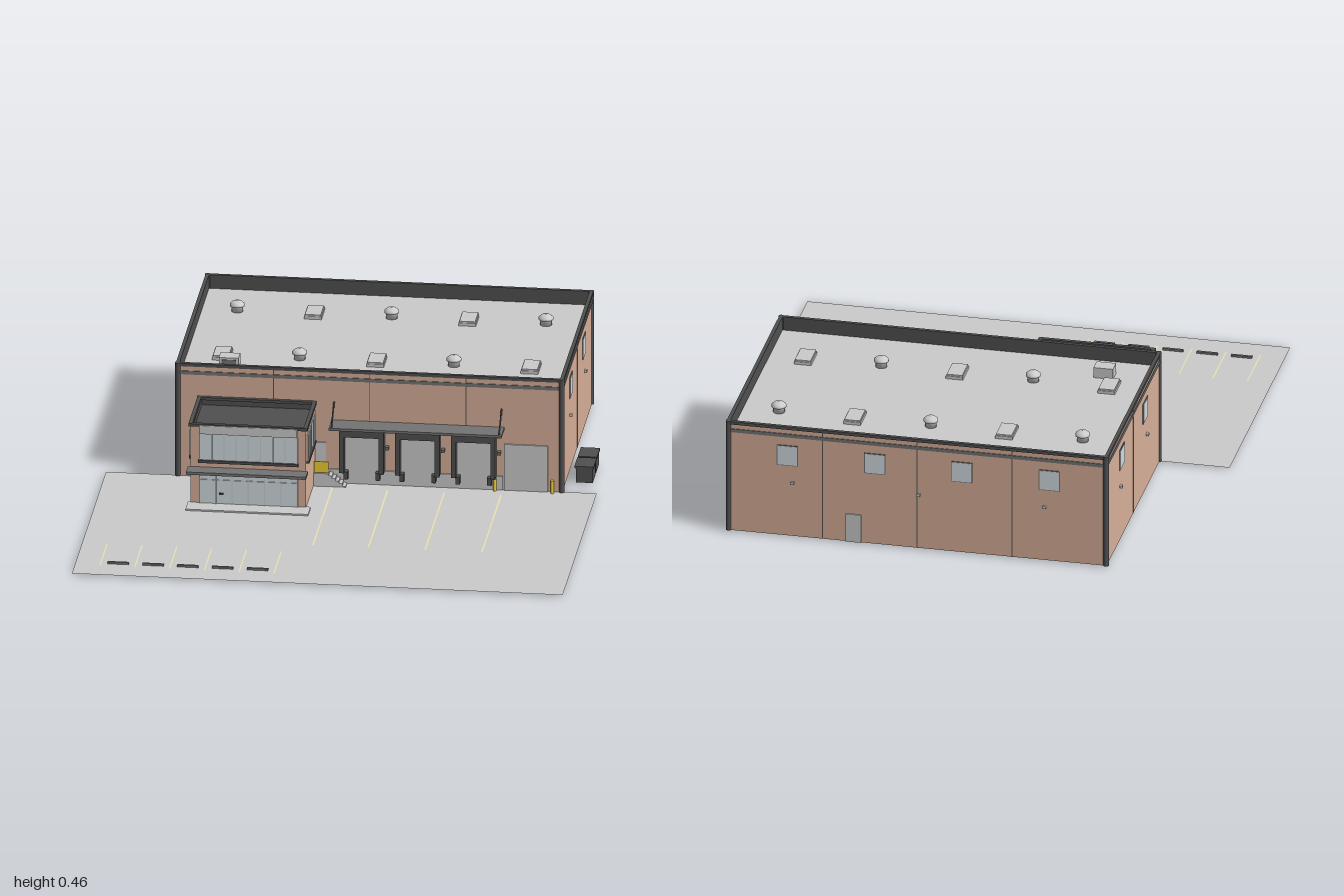
import * as THREE from 'three';

const mat = (color) => new THREE.MeshStandardMaterial({ color, side: THREE.DoubleSide });
const M = {
  brick: mat(0xd8b09a), grey: mat(0xcccccc), dark: mat(0x505050), mid: mat(0x747474),
  asphalt: mat(0xc8c8c8), glass: mat(0xd2dce0), yellow: mat(0xf0d030), stripe: mat(0xeae2ae),
};
const G = 0.01; // ground level
const X0 = -0.66, X1 = 0.8, Z0 = -0.99, Z1 = -0.06, TOP = 0.465, ROOF = 0.41;

export function createModel() {
  const root = new THREE.Group();
  const mesh = (name, geo, m, x = 0, y = 0, z = 0) => {
    const o = new THREE.Mesh(geo, m);
    o.name = name;
    o.position.set(x, y, z);
    root.add(o);
  };
  // Box given by its limits on each axis
  const box = (name, m, xa, xb, ya, yb, za, zb) =>
    mesh(name, new THREE.BoxGeometry(xb - xa, yb - ya, zb - za), m, (xa + xb) / 2, (ya + yb) / 2, (za + zb) / 2);
  // Rectangular ring of walls; t grows inward
  const ring = (name, m, xa, xb, ya, yb, za, zb, t) => {
    box(name, m, xa, xb, ya, yb, za, za + t);
    box(name, m, xa, xb, ya, yb, zb - t, zb);
    box(name, m, xa, xa + t, ya, yb, za + t, zb - t);
    box(name, m, xb - t, xb, ya, yb, za + t, zb - t);
  };
  const flat = (name, m, xa, xb, y, za, zb) =>
    mesh(name, new THREE.PlaneGeometry(xb - xa, zb - za).rotateX(-Math.PI / 2), m, (xa + xb) / 2, y, (za + zb) / 2);

  // Yard with bay stripes, parking stripes and wheel stops
  flat('yard', M.asphalt, -0.93, 0.93, G, -0.063, 1);
  for (const x of [-0.065, 0.145, 0.36, 0.575]) flat('bayStripe', M.stripe, x - 0.003, x + 0.003, G + 0.001, 0, 0.6);
  for (let i = 0; i < 6; i++) {
    const x = -0.835 + i * 0.132;
    flat('parkingStripe', M.stripe, x - 0.0025, x + 0.0025, G + 0.001, 0.68, 0.91);
    if (i < 5) box('wheelStop', M.mid, x + 0.026, x + 0.106, G, G + 0.008, 0.875, 0.885);
  }

  // Warehouse shell, open underneath
  ring('wall', M.brick, X0, X1, G, TOP - 0.01, Z0, Z1, 0.008);
  ring('parapetLining', M.dark, X0 + 0.008, X1 - 0.008, ROOF, TOP - 0.01, Z0 + 0.008, Z1 - 0.008, 0.001);
  ring('parapetCap', M.dark, X0 - 0.005, X1 + 0.005, TOP - 0.012, TOP, Z0 - 0.005, Z1 + 0.005, 0.014);
  ring('trimBand', M.mid, X0 - 0.003, X1 + 0.003, 0.42, 0.434, Z0 - 0.003, Z1 + 0.003, 0.005);
  flat('roof', M.asphalt, X0 + 0.008, X1 - 0.008, ROOF, Z0 + 0.008, Z1 - 0.008);
  for (const x of [X0, X1]) for (const z of [Z0, Z1])
    mesh('cornerPost', new THREE.CylinderGeometry(0.011, 0.011, TOP - G, 16), M.dark,
      x - Math.sign(x) * 0.003, (TOP + G) / 2, z + (z === Z0 ? 0.003 : -0.003));

  // Wall panel joints
  for (const x of [-0.295, 0.07, 0.435]) {
    box('panelJoint', M.dark, x - 0.0015, x + 0.0015, G, 0.455, Z0 - 0.001, Z0);
    box('panelJoint', M.dark, x - 0.0015, x + 0.0015, G, 0.455, Z1, Z1 + 0.001);
  }
  for (const x of [X0, X1]) box('panelJoint', M.dark, x - 0.001, x + 0.001, G, 0.455, -0.5265, -0.5235);

  // Framed windows and wall lamps on the sides and back
  for (const x of [X0, X1]) {
    for (const z of [-0.318, -0.728]) {
      box('windowFrame', M.mid, x - 0.003, x + 0.003, 0.302, 0.386, z - 0.041, z + 0.041);
      box('windowPane', M.glass, x - 0.004, x + 0.004, 0.305, 0.383, z - 0.038, z + 0.038);
    }
    for (const z of [-0.295, -0.755]) box('wallLamp', M.grey, x - 0.01, x + 0.01, 0.227, 0.237, z - 0.007, z + 0.007);
  }
  for (const x of [-0.44, -0.103, 0.233, 0.57]) {
    box('windowFrame', M.mid, x - 0.041, x + 0.041, 0.302, 0.386, Z0 - 0.003, Z0 + 0.003);
    box('windowPane', M.glass, x - 0.038, x + 0.038, 0.305, 0.383, Z0 - 0.004, Z0 + 0.004);
  }
  for (const x of [-0.42, 0.065, 0.55]) box('wallLamp', M.grey, x - 0.007, x + 0.007, 0.227, 0.237, Z0 - 0.01, Z0);
  box('backDoor', M.grey, 0.285, 0.345, G, 0.125, Z0 - 0.005, Z0 + 0.005);

  // Roof vents, skylights and cooling unit, alternating in two rows
  const ventProfile = [[0, 0], [0.022, 0], [0.022, 0.02], [0.028, 0.022], [0.028, 0.03], [0.018, 0.039], [0, 0.042]]
    .map(([r, y]) => new THREE.Vector2(r, y));
  for (let i = 0; i < 5; i++) {
    const x = -0.517 + i * 0.2925;
    const [vz, sz] = i % 2 ? [-0.295, -0.76] : [-0.76, -0.295];
    mesh('roofVent', new THREE.LatheGeometry(ventProfile, 20), M.grey, x, ROOF, vz);
    box('skylightCurb', M.grey, x - 0.033, x + 0.033, ROOF, ROOF + 0.012, sz - 0.053, sz + 0.053);
    box('skylight', M.grey, x - 0.03, x + 0.03, ROOF + 0.012, ROOF + 0.018, sz - 0.05, sz + 0.05);
  }
  box('coolingUnit', M.grey, -0.515, -0.44, ROOF, ROOF + 0.042, -0.22, -0.165);
  box('coolingGrille', M.mid, -0.505, -0.45, ROOF + 0.008, ROOF + 0.034, -0.165, -0.163);

  // Office wing
  const OX0 = -0.575, OX1 = -0.138, OZ = 0.225;
  box('officeWall', M.brick, OX0, OX1, G, 0.325, OZ - 0.008, OZ);
  for (const x of [OX0, OX1 - 0.008]) box('officeWall', M.brick, x, x + 0.008, G, 0.325, Z1, OZ - 0.008);
  box('officeRoof', M.dark, OX0 + 0.008, OX1 - 0.008, 0.29, 0.3, Z1 - 0.012, OZ - 0.008);
  ring('officeParapet', M.dark, OX0 - 0.007, OX1 + 0.007, 0.324, 0.335, Z1, OZ + 0.007, 0.015);
  ring('officeParapetLining', M.dark, OX0 + 0.008, OX1 - 0.008, 0.3, 0.324, Z1, OZ - 0.008, 0.001);
  box('officeCanopy', M.mid, -0.585, -0.13, 0.149, 0.16, OZ, 0.285);
  box('entrySlab', M.asphalt, -0.585, -0.12, 0.004, G + 0.006, 0.22, 0.3);

  // Office front glazing: window band above, shopfront below
  const glazing = (ya, yb, n) => {
    box('officeGlass', M.glass, -0.54, -0.17, ya, yb, OZ - 0.01, OZ + 0.003);
    for (let i = 0; i <= n; i++) {
      const x = -0.54 + (0.37 * i) / n;
      box('mullion', M.grey, x - 0.002, x + 0.002, ya, yb, OZ, OZ + 0.007);
    }
  };
  glazing(0.19, 0.295, 8);
  glazing(G + 0.006, 0.135, 6);
  box('shopfrontRail', M.grey, -0.54, -0.17, 0.108, 0.112, OZ, OZ + 0.006);
  box('fasciaPanel', M.grey, -0.54, -0.17, 0.296, 0.33, OZ, OZ + 0.01);
  box('windowSill', M.dark, -0.545, -0.165, 0.18, 0.19, OZ, OZ + 0.012);
  box('doorHandle', M.dark, -0.465, -0.45, 0.055, 0.06, OZ, OZ + 0.012);
  // Office side windows
  for (const [x, s] of [[OX0, -1], [OX1, 1]]) {
    box('sideGlass', M.glass, x - 0.004, x + 0.004, 0.19, 0.295, -0.02, 0.19);
    box('sideSill', M.dark, x - 0.01, x + 0.01, 0.18, 0.19, -0.025, 0.195);
    for (let i = 0; i <= 4; i++) {
      const z = -0.02 + i * 0.0525;
      box('sideMullion', M.grey, x + s * 0.004 - 0.003, x + s * 0.004 + 0.003, 0.19, 0.295, z - 0.002, z + 0.002);
    }
  }

  // Loading dock: concrete base, sealed doors, bumpers
  box('dockBase', M.grey, -0.08, 0.575, G, 0.065, Z1, Z1 + 0.006);
  for (const x of [0.043, 0.255, 0.467]) {
    box('dockDoor', M.grey, x - 0.066, x + 0.066, 0.065, 0.215, Z1 - 0.012, Z1 + 0.006);
    box('dockSealTop', M.dark, x - 0.084, x + 0.084, 0.21, 0.24, Z1, -0.015);
    for (const s of [-1, 1]) {
      box('dockSealSide', M.dark, x + s * 0.075 - 0.009, x + s * 0.075 + 0.009, 0.065, 0.21, Z1, -0.015);
      box('dockBumper', M.dark, x + s * 0.06 - 0.008, x + s * 0.06 + 0.008, 0.035, 0.065, Z1, -0.03);
    }
    box('dockLamp', M.mid, x + 0.088, x + 0.1, 0.155, 0.167, Z1, Z1 + 0.02);
  }

  // Dock canopy with tie rods
  box('dockCanopy', M.mid, -0.075, 0.58, 0.252, 0.262, Z1, 0.03);
  for (const x of [-0.065, 0.57]) {
    const path = new THREE.LineCurve3(new THREE.Vector3(x, 0.335, Z1), new THREE.Vector3(x, 0.26, 0.025));
    mesh('tieRod', new THREE.TubeGeometry(path, 1, 0.003, 8), M.dark);
  }

  // Side door with landing, steps and railing
  box('sideDoor', M.grey, -0.134, -0.095, 0.065, 0.17, Z1 - 0.012, Z1 + 0.005);
  box('landing', M.grey, -0.138, -0.08, G, 0.062, Z1, -0.01);
  box('landingRail', M.yellow, -0.135, -0.08, 0.066, 0.11, -0.014, -0.01);
  for (let i = 0; i < 5; i++)
    box('step', M.grey, -0.08 + i * 0.013, -0.067 + i * 0.013, G, 0.054 - i * 0.01, Z1 + 0.006, -0.012);

  // Drive-in door, bollards and signal lamp
  box('driveInDoor', M.grey, 0.58, 0.745, G, 0.195, Z1 - 0.012, Z1 + 0.006);
  for (const x of [0.545, 0.763]) {
    mesh('bollard', new THREE.CylinderGeometry(0.007, 0.007, 0.05, 12), M.yellow, x, G + 0.025, -0.046);
  }
  box('signalLamp', M.yellow, 0.553, 0.565, 0.222, 0.236, Z1, Z1 + 0.015);

  // Waste bins beside the building
  for (const z of [-0.365, -0.26]) {
    box('wasteBin', M.dark, 0.838, 0.902, G, 0.068, z + 0.003, z + 0.092);
    box('wasteBinLid', M.dark, 0.833, 0.906, 0.068, 0.076, z, z + 0.095);
  }
  return root;
}
